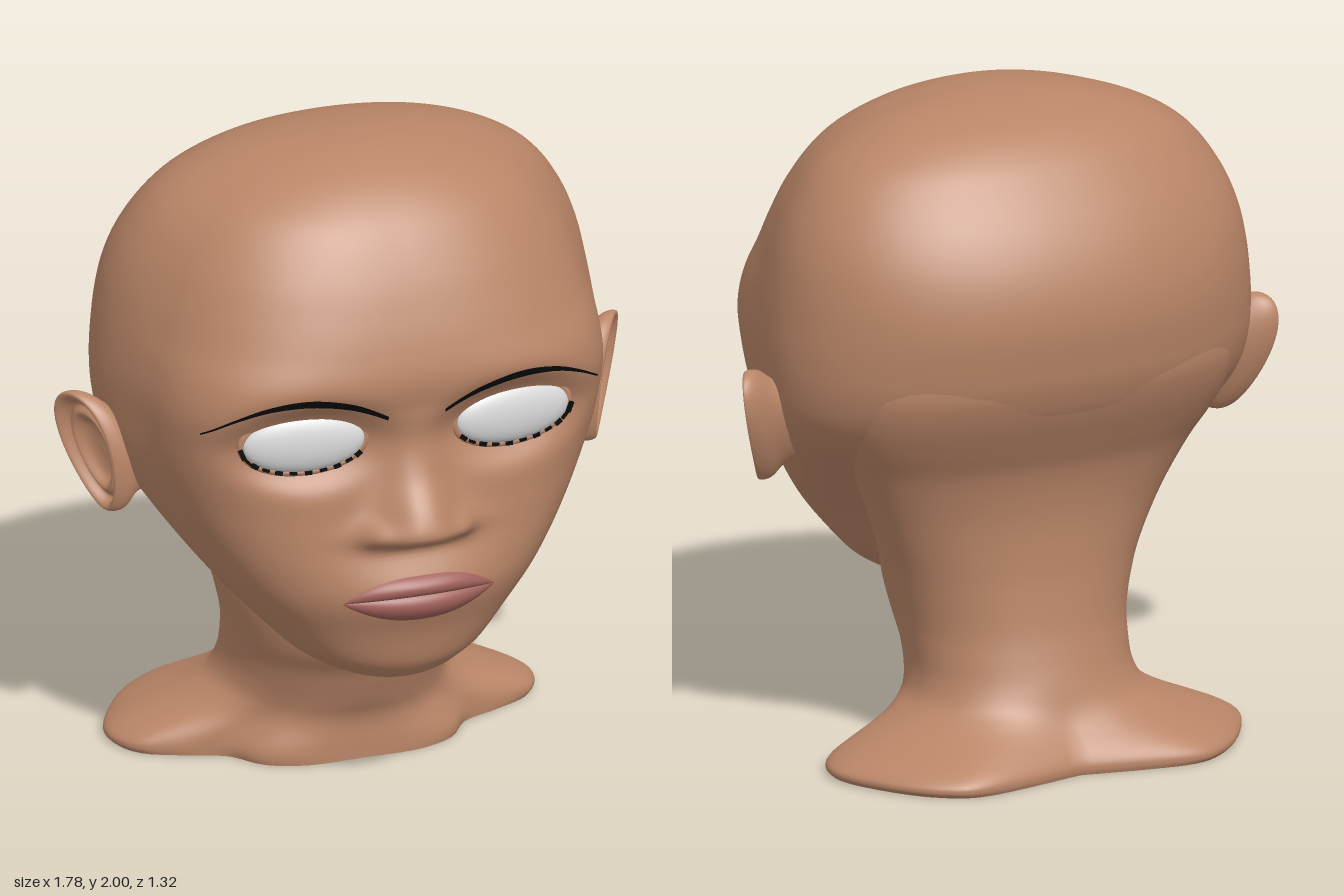
import * as THREE from 'three';

const mat = (name, color, side = THREE.FrontSide) => {
  const m = new THREE.MeshStandardMaterial({ color, side });
  m.name = name;
  return m;
};

// Smooth interpolation through rows of numbers, by row index
function spline(rows, u) {
  const last = rows.length - 1;
  const i = Math.min(Math.max(Math.floor(u), 0), last - 1);
  const t = Math.min(Math.max(u - i, 0), 1);
  const p = k => rows[Math.min(Math.max(k, 0), last)];
  return rows[i].map((b, c) => {
    const a = p(i - 1)[c], d = p(i + 1)[c], e = p(i + 2)[c];
    return b + 0.5 * t * (d - a + t * (2 * a - 5 * b + 4 * d - e + t * (3 * (b - d) + e - a)));
  });
}

// The same, looked up by the rising first column
function at(rows, y) {
  let lo = 0, hi = rows.length - 1;
  for (let k = 0; k < 30; k++) {
    const mid = (lo + hi) / 2;
    if (spline(rows, mid)[0] < y) lo = mid; else hi = mid;
  }
  return spline(rows, (lo + hi) / 2);
}

// Skin over closed rings; point(v, t) with v from 0 to 1 and t from 0 to 2 pi
function loft(rings, segs, point) {
  const pos = [], idx = [];
  for (let j = 0; j <= rings; j++) {
    for (let i = 0; i < segs; i++) pos.push(...point(j / rings, i / segs * Math.PI * 2));
  }
  for (let j = 0; j < rings; j++) {
    for (let i = 0; i < segs; i++) {
      const a = j * segs + i, b = j * segs + (i + 1) % segs;
      idx.push(a, b, b + segs, a, b + segs, a + segs);
    }
  }
  return finish(pos, idx);
}

function finish(pos, idx) {
  const g = new THREE.BufferGeometry();
  g.setAttribute('position', new THREE.Float32BufferAttribute(pos, 3));
  g.setIndex(idx);
  g.computeVertexNormals();
  return g;
}

// Head sections: height, half width, front z, back z, squareness of the front
const HEAD = [
  [0.4, 0, 0.36, 0.36, 2], [0.402, 0.1, 0.42, 0.26, 2], [0.42, 0.18, 0.465, 0.2, 2],
  [0.45, 0.24, 0.5, 0.15, 2], [0.5, 0.31, 0.53, 0.1, 2.1], [0.6, 0.41, 0.55, 0.01, 2.2],
  [0.7, 0.5, 0.56, -0.08, 2.4], [0.8, 0.58, 0.555, -0.2, 2.6], [0.9, 0.65, 0.54, -0.33, 2.8],
  [1, 0.71, 0.525, -0.47, 3], [1.1, 0.748, 0.515, -0.555, 3.3], [1.2, 0.763, 0.52, -0.6, 3.6],
  [1.3, 0.767, 0.545, -0.62, 3.6], [1.4, 0.76, 0.56, -0.63, 3.2], [1.5, 0.747, 0.54, -0.62, 2.75],
  [1.6, 0.725, 0.505, -0.59, 2.55], [1.7, 0.685, 0.46, -0.54, 2.45], [1.8, 0.62, 0.4, -0.47, 2.35],
  [1.87, 0.54, 0.34, -0.41, 2.3], [1.93, 0.42, 0.26, -0.33, 2.2], [1.97, 0.28, 0.17, -0.23, 2.1],
  [1.99, 0.15, 0.09, -0.13, 2], [2, 0, -0.02, -0.02, 2],
];
// Nose: height, projection, width
const NOSE = [
  [0.86, 0, 0.15], [0.885, 0.03, 0.15], [0.905, 0.085, 0.15], [0.935, 0.122, 0.145],
  [1, 0.108, 0.115], [1.1, 0.055, 0.09], [1.2, 0.02, 0.08], [1.32, 0, 0.08],
];
// Neck and nape: height, half width, front z, back z, blend towards the shoulder outline
const NECK = [
  [0, 0.33, 0.09, -0.5, 0.96], [0.015, 0.33, 0.09, -0.5, 1], [0.035, 0.33, 0.09, -0.5, 0.98],
  [0.06, 0.33, 0.09, -0.5, 0.86], [0.09, 0.33, 0.09, -0.5, 0.65], [0.12, 0.33, 0.095, -0.5, 0.43],
  [0.15, 0.33, 0.105, -0.5, 0.25], [0.19, 0.33, 0.125, -0.5, 0.09], [0.25, 0.333, 0.15, -0.49, 0.01],
  [0.32, 0.335, 0.18, -0.47, 0], [0.4, 0.345, 0.23, -0.45, 0], [0.5, 0.37, 0.24, -0.435, 0],
  [0.6, 0.4, 0.2, -0.425, 0], [0.75, 0.465, 0.14, -0.425, 0], [0.9, 0.54, 0.08, -0.455, 0],
  [1, 0.59, 0.04, -0.505, 0], [1.1, 0.62, 0.01, -0.558, 0], [1.2, 0.625, 0, -0.595, 0],
  [1.3, 0.6, 0, -0.6, 0],
];
// Half outline of the shoulders (x, z), front to back
const SHOULDER = [
  [0, 0.09], [0.17, 0.09], [0.3, 0.04], [0.38, -0.06], [0.5, -0.11], [0.62, -0.17], [0.67, -0.27],
  [0.65, -0.38], [0.55, -0.54], [0.45, -0.63], [0.36, -0.66], [0.22, -0.645], [0, -0.6],
];
// Ear section from root over the rim into the bowl: scale, outward offset
const EAR = [
  [0.6, -0.1], [0.74, -0.01], [0.95, 0.04], [1, 0.07], [0.97, 0.092], [0.88, 0.088],
  [0.77, 0.062], [0.62, 0.075], [0.44, 0.05], [0.2, 0.042], [0, 0.042],
];

const TEMPLE = 0.94; // the face is a little narrower than the skull
const midZ = (f, b) => b + 0.43 * (f - b);
const bump = (x, y, cx, cy, rx, ry) => Math.exp(-(((x - cx) / rx) ** 2) - ((y - cy) / ry) ** 2);

// Nose, nostril wings, mouth mound and eye sockets
function relief(x, y) {
  const ax = Math.abs(x);
  let d = 0.043 * bump(ax, y, 0, 0.73, 0.25, 0.1) + 0.018 * bump(ax, y, 0.14, 0.935, 0.04, 0.04);
  if (y > 0.86 && y < 1.32) {
    const [, h, w] = at(NOSE, y);
    d += h * Math.exp(-((ax / w) ** 2.5));
  }
  const s = ((ax - 0.33) / 0.23) ** 2 + ((y - 1.22) / 0.13) ** 2;
  return d - 0.06 * Math.exp(-s * s);
}

function faceZ(x, y) {
  const [, w, f, b, n] = at(HEAD, y);
  const zc = midZ(f, b);
  return zc + (f - zc) * Math.max(0, 1 - Math.abs(x / w / TEMPLE) ** n) ** (1 / n) + relief(x, y);
}

// Ring point of a rounded section
function oval(t, w, f, b, n) {
  const s = Math.sin(t), c = Math.cos(t), k = c > 0 ? n : 2.1;
  const r = (Math.abs(s) ** k + Math.abs(c) ** k) ** (-1 / k), zc = midZ(f, b);
  return [w * s * r, zc + c * r * (c > 0 ? f - zc : zc - b), c * r];
}

function headPoint(v, q) {
  const t = q - 0.4 * Math.sin(q);
  const [y, w, f, b, n] = spline(HEAD, v * (HEAD.length - 1));
  const [x0, z, depth] = oval(t, w, f, b, n);
  const x = x0 * (1 - (1 - TEMPLE) * THREE.MathUtils.smoothstep(depth, 0, 0.5));
  return [x, y, z + (depth > 0 ? relief(x, y) : 0)];
}

function neckPoint(v, t) {
  const [y, w, f, b, k] = spline(NECK, v * (NECK.length - 1));
  const [x, z] = oval(t, w, f, b, 2.2);
  const [sx, sz] = spline(SHOULDER, Math.min(t, 2 * Math.PI - t) / Math.PI * 12);
  const m = Math.min(Math.max(k, 0), 1);
  return [x + m * ((t > Math.PI ? -sx : sx) - x), y, z + m * (sz - z)];
}

// Thin plate lying on the face between two edges
function plate(low, high, bulge, nu, nv) {
  const pos = [], idx = [];
  for (let j = 0; j <= nv; j++) {
    for (let i = 0; i <= nu; i++) {
      const u = i / nu, v = j / nv, a = low(u), b = high(u);
      const x = a[0] + v * (b[0] - a[0]), y = a[1] + v * (b[1] - a[1]);
      const swell = Math.max(0, Math.sin(Math.PI * v)) ** 0.7 * 4 * u * (1 - u);
      pos.push(x, y, faceZ(x, y) + 0.006 + bulge * swell);
      if (i < nu && j < nv) {
        const k = j * (nu + 1) + i, l = k + nu + 1;
        idx.push(k, k + 1, l + 1, k, l + 1, l);
      }
    }
  }
  return finish(pos, idx);
}

export function createModel() {
  const skin = mat('skin', 0xb98567), white = mat('eye white', 0xdadada);
  const lip = mat('lip', 0xa1615a, THREE.DoubleSide), black = mat('hair black', 0x0a0a0a, THREE.DoubleSide);
  const model = new THREE.Group();
  const add = (name, geo, m, parent = model) => {
    const mesh = new THREE.Mesh(geo, m);
    mesh.name = name;
    parent.add(mesh);
    return mesh;
  };

  add('head', loft(176, 200, headPoint), skin);
  add('neckAndShoulders', loft(72, 96, neckPoint), skin);
  add('base', loft(1, 96, (v, t) => {
    const [x, , z] = neckPoint(0, t);
    return [x * v, 0, -0.25 + (z + 0.25) * v];
  }), skin);

  // Lips meet along a gently arched mouth line
  const edge = (y, rise, p) => u => [0.24 * (2 * u - 1), y + rise * (1 - Math.abs(2 * u - 1) ** p)];
  const mouth = edge(0.72, 0.016, 2);
  add('upperLip', plate(mouth, edge(0.721, 0.073, 2.8), 0.018, 40, 12), lip);
  add('lowerLip', plate(edge(0.719, -0.068, 2.2), mouth, 0.018, 40, 12), lip);

  const brow = [[0.09, 1.295, 0.007], [0.2, 1.347, 0.012], [0.33, 1.374, 0.013],
    [0.45, 1.362, 0.009], [0.55, 1.32, 0.005], [0.63, 1.265, 0.003]];

  for (const s of [1, -1]) {
    const side = s > 0 ? 'left' : 'right';

    // Ear: egg-shaped outline flaring outwards at the top and back
    add(side + 'Ear', loft(40, 56, (v, t) => {
      const [k, h] = spline(EAR, v * (EAR.length - 1));
      const dy = 0.185 * k * Math.cos(t), back = -s * Math.sin(t) * k;
      const x = 0.728 + 0.24 * dy + h + (0.05 + 0.08 * dy) * back;
      return [s * x, 1.055 + dy, -0.055 - 0.2 * dy - back * (0.085 + 0.1 * dy)];
    }), skin);

    // Eyebrow
    const browEdge = d => u => {
      const [x, y, h] = spline(brow, u * 5);
      return [s * x, y + d * h];
    };
    add(side + 'Eyebrow', plate(browEdge(-1), browEdge(1), 0, 40, 2), black);

    // Eye with lid rim and lower lashes
    const eye = new THREE.Group();
    eye.name = side + 'Eye';
    eye.position.set(s * 0.33, 1.222, 0.464);
    eye.rotation.y = s * 0.12;
    model.add(eye);
    add('eyeball', new THREE.SphereGeometry(1, 40, 28), white, eye).scale.set(0.186, 0.092, 0.042);
    const rim = [];
    for (let i = 0; i < 24; i++) {
      const a = i / 24 * Math.PI * 2;
      rim.push(new THREE.Vector3(0.19 * Math.cos(a), 0.097 * Math.sin(a), -0.008));
    }
    add('eyelid', new THREE.TubeGeometry(new THREE.CatmullRomCurve3(rim, true), 72, 0.013, 10, true), skin, eye);
    for (let i = 0; i < 11; i++) {
      const a = -0.2 - i * 0.24;
      const lash = add('lash', new THREE.BoxGeometry(i < 2 ? 0.034 : 0.022, i % 2 ? 0.008 : 0.014, 0.008), black, eye);
      lash.position.set(s * 0.193 * Math.cos(a), 0.095 * Math.sin(a), 0.008);
      lash.rotation.z = s * Math.atan2(0.5 * Math.cos(a), -Math.sin(a));
    }
  }
  return model;
}
